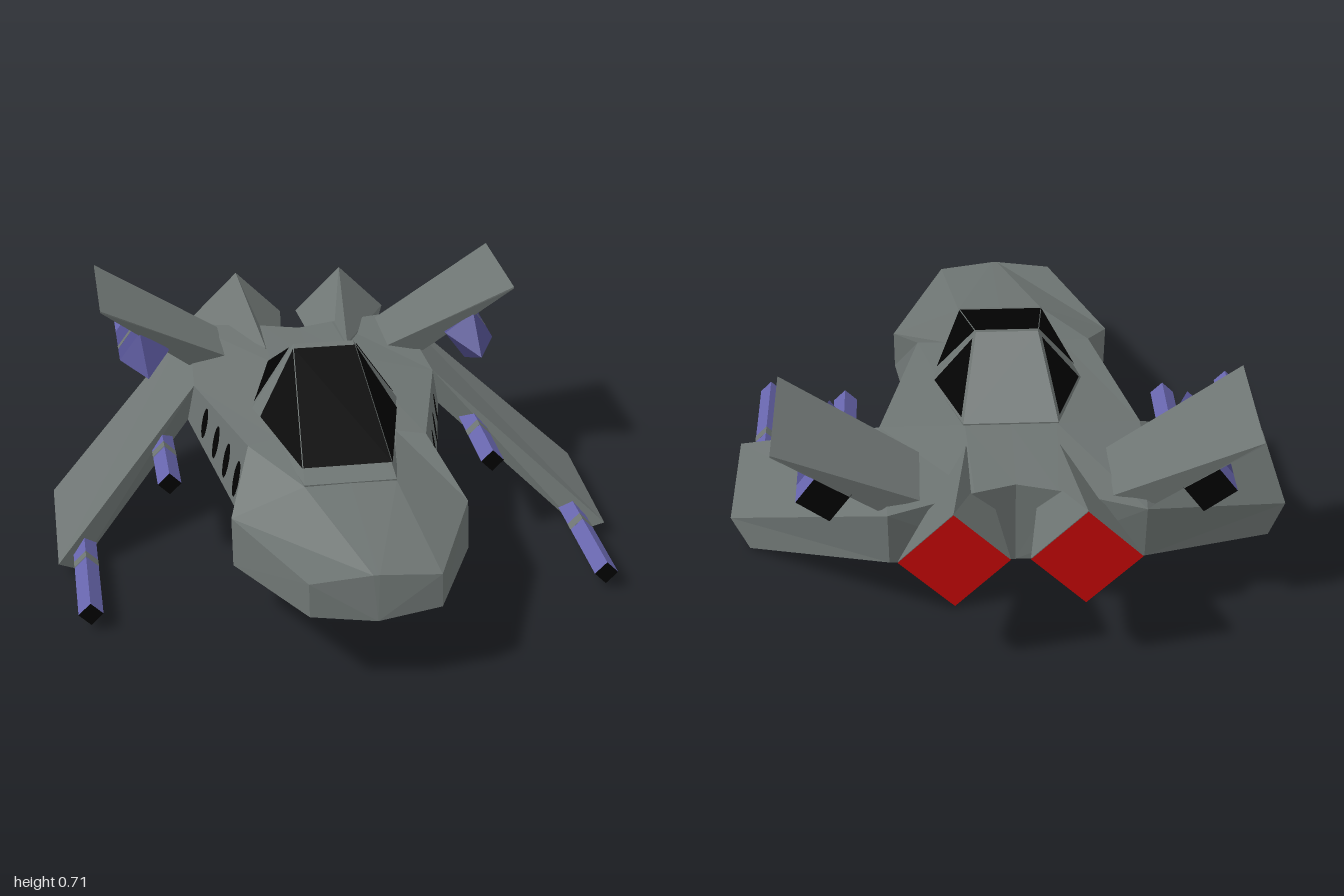
import * as THREE from 'three';
import { ConvexGeometry } from 'three/addons/geometries/ConvexGeometry.js';

const mat = (name, color) => Object.assign(new THREE.MeshStandardMaterial({ color, flatShading: true }), { name });
const V = (p) => new THREE.Vector3(...p);

// Faceted geometry from a list of triangle corners
function facets(corners) {
  const g = new THREE.BufferGeometry().setFromPoints(corners);
  g.computeVertexNormals();
  return g;
}

// Closed flat-shaded solid joining equal-length cross-sections
function loft(rings) {
  const r = rings.map((ring) => ring.map(V));
  const n = r[0].length, last = r.length - 1, tris = [];
  for (let i = 0; i < last; i++) {
    for (let j = 0; j < n; j++) {
      const k = (j + 1) % n;
      tris.push([r[i][j], r[i][k], r[i + 1][k]], [r[i][j], r[i + 1][k], r[i + 1][j]]);
    }
  }
  for (let j = 1; j < n - 1; j++) {
    tris.push([r[0][0], r[0][j + 1], r[0][j]], [r[last][0], r[last][j], r[last][j + 1]]);
  }
  // turn the faces outward when the enclosed volume is negative
  const volume = tris.reduce((s, [a, b, c]) => s + a.dot(b.clone().cross(c)), 0);
  if (volume < 0) tris.forEach((t) => t.reverse());
  return facets(tris.flat());
}

// Flat panel lifted slightly off the hull, facing outward
function pane(points, lift = 0.004) {
  let p = points.map((q) => q.clone());
  const normal = p[1].clone().sub(p[0]).cross(p[2].clone().sub(p[0])).normalize();
  const centre = p.reduce((s, q) => s.add(q), new THREE.Vector3()).divideScalar(p.length);
  if (normal.dot(centre.sub(V([0, 0.3, -0.2]))) < 0) {
    normal.negate();
    p.reverse();
  }
  p = p.map((q) => q.addScaledVector(normal, lift));
  const corners = [];
  for (let i = 1; i < p.length - 1; i++) corners.push(p[0], p[i], p[i + 1]);
  return facets(corners);
}

// Square bar along z, standing on its corner
function bar(radius, front, back, frontRadius = radius) {
  const g = new THREE.CylinderGeometry(frontRadius, radius, front - back, 4);
  return g.rotateX(Math.PI / 2).translate(0, 0, (front + back) / 2);
}

export function createModel() {
  const group = new THREE.Group();
  const hull = mat('hullGrey', 0x6d7472);
  const metal = mat('violetMetal', 0x6765ac);
  const darkMetal = mat('darkViolet', 0x504e8c);
  const black = mat('blackGlass', 0x020202);
  const red = mat('engineRed', 0xc40606);
  black.side = THREE.DoubleSide;

  const add = (name, geometry, material, parent = group) => {
    const mesh = new THREE.Mesh(geometry, material);
    mesh.name = name;
    parent.add(mesh);
    return mesh;
  };

  // Fuselage: half sections (keel, lower edge, shoulder, deck edge, deck centre)
  const halves = [
    [[0, 0.225, 1], [0.205, 0.24, 0.97], [0.205, 0.345, 0.955], [0.01, 0.365, 0.965], [0, 0.365, 0.965]],
    [[0, 0.165, 0.52], [0.388, 0.18, 0.52], [0.388, 0.335, 0.49], [0.15, 0.43, 0.49], [0, 0.432, 0.49]],
    [[0, 0.165, 0.2], [0.345, 0.215, 0.2], [0.3, 0.455, 0.22], [0.2, 0.465, 0.2], [0, 0.465, 0.2]],
    [[0, 0.165, -0.3], [0.455, 0.31, -0.31], [0.43, 0.445, -0.3], [0.15, 0.49, -0.37], [0, 0.49, -0.37]],
    [[0, 0.17, -0.67], [0.4, 0.26, -0.79], [0.4, 0.46, -0.82], [0.13, 0.475, -0.73], [0, 0.475, -0.69]],
  ];
  const flip = ([x, y, z]) => [-x, y, z];
  add('fuselage', loft(halves.map((h) => [...h, ...h.slice(1, 4).reverse().map(flip)])), hull);

  // Canopy: front, middle, rear and roof corners
  const canopy = (s) => ({
    F: V([s * 0.15, 0.435, 0.49]), M: V([s * 0.253, 0.465, -0.05]),
    R: V([s * 0.155, 0.495, -0.37]), T: V([s * 0.103, 0.675, -0.09]),
  });
  const hood = [];
  for (const s of [1, -1]) {
    const { F, M, R, T } = canopy(s);
    hood.push(F, M, R, T);
    for (const q of [F, M, R]) hood.push(V([q.x, 0.42, q.z]));
  }
  add('canopy', new ConvexGeometry(hood), hull);

  const glassEdge = (s) => {
    const { F, T } = canopy(s);
    return [F.clone().lerp(T, 0.11), F.clone().lerp(T, 0.96)];
  };
  const [fl, tl] = glassEdge(1), [fr, tr] = glassEdge(-1);
  add('windshield', pane([fl, tl, tr, fr]), black);

  for (const s of [1, -1]) {
    const side = new THREE.Group();
    side.name = s > 0 ? 'leftSide' : 'rightSide';
    group.add(side);
    const m = (pts) => pts.map(([x, y, z]) => [s * x, y, z]);
    const put = (name, geometry, material) => add(name, geometry, material, side);

    // Canopy side glass
    const { F, M, R, T } = canopy(s);
    const [f, t] = glassEdge(s);
    put('windshieldSide', pane([f, F.clone().lerp(M, 0.84).lerp(T, 0.03), t]), black);
    const mid = M.clone().add(R).add(T).divideScalar(3);
    put('rearCanopyWindow', pane([M, R, T].map((q) => mid.clone().lerp(q, 0.86))), black);

    // Oval windows along the fuselage wall
    const wall = m([halves[2][1], halves[2][2], halves[3][1], halves[3][2]]).map(V);
    const onWall = (u, v) => wall[0].clone().lerp(wall[2], u)
      .lerp(wall[1].clone().lerp(wall[3], u), v);
    for (const u of [0.05, 0.25, 0.46, 0.69]) {
      const height = 0.29 + 0.08 * u;
      const oval = [];
      for (let i = 0; i < 12; i++) {
        const a = (i + 0.5) * Math.PI / 6;
        oval.push(onWall(u + 0.045 * Math.cos(a), 0.4 + 0.2 * u + height * Math.sin(a)));
      }
      put('sideWindow', pane(oval, 0.006), black);
    }

    // Drooping forward-swept wing
    put('wing', loft([
      m([halves[3][2], halves[3][1], halves[4][1], halves[4][2]]),
      m([[0.945, 0.055, 0.21], [0.88, 0, 0.155], [0.88, 0, -0.345], [0.945, 0.08, -0.28]]),
    ]), hull);

    // Upper fin tapering to a sharp tip
    put('upperFin', loft([
      m([[0.3, 0.47, -0.49], [0.43, 0.445, -0.48], [0.43, 0.445, -0.77], [0.3, 0.47, -0.755]]),
      m([[0.742, 0.71, -0.395], [0.742, 0.704, -0.395], [0.742, 0.704, -0.845], [0.742, 0.71, -0.845]]),
    ]), hull);

    // Main engine flaring to a diamond nozzle
    const diamond = (x, y, rx, ry, z) => m([[x, y + ry, z], [x + rx, y, z], [x, y - ry, z], [x - rx, y, z]]);
    put('mainEngine', loft([diamond(0.15, 0.375, 0.06, 0.115, -0.49), diamond(0.2, 0.417, 0.17, 0.17, -0.996)]), hull);
    put('engineNozzle', pane(diamond(0.2, 0.417, 0.17, 0.17, -0.996).map(V)), red);

    // Pod beneath the fin, with a lighter tail section and black exhaust
    const pod = new THREE.Group();
    pod.name = 'finPod';
    pod.position.set(s * 0.592, 0.513, 0);
    pod.rotation.z = -s * 0.15;
    side.add(pod);
    add('podNose', bar(0.089, -0.235, -0.44, 0.001), darkMetal, pod);
    add('podBody', bar(0.089, -0.44, -0.7), darkMetal, pod);
    add('podTail', bar(0.089, -0.7, -0.79), [metal, metal, black], pod);
    add('podBand', bar(0.0898, -0.54, -0.565), hull, pod);

    // Wing guns
    for (const [x, y, front, back, band] of [[0.853, 0.06, 0.555, 0.08, 0.25], [0.557, 0.285, 0.125, -0.26, -0.08]]) {
      const gun = new THREE.Group();
      gun.name = 'wingGun';
      gun.position.set(s * x, y, 0);
      side.add(gun);
      add('gunBarrel', bar(0.04, front, back), [metal, black, metal], gun);
      add('gunBand', bar(0.0408, band, band - 0.04), hull, gun);
    }
  }
  return group;
}
